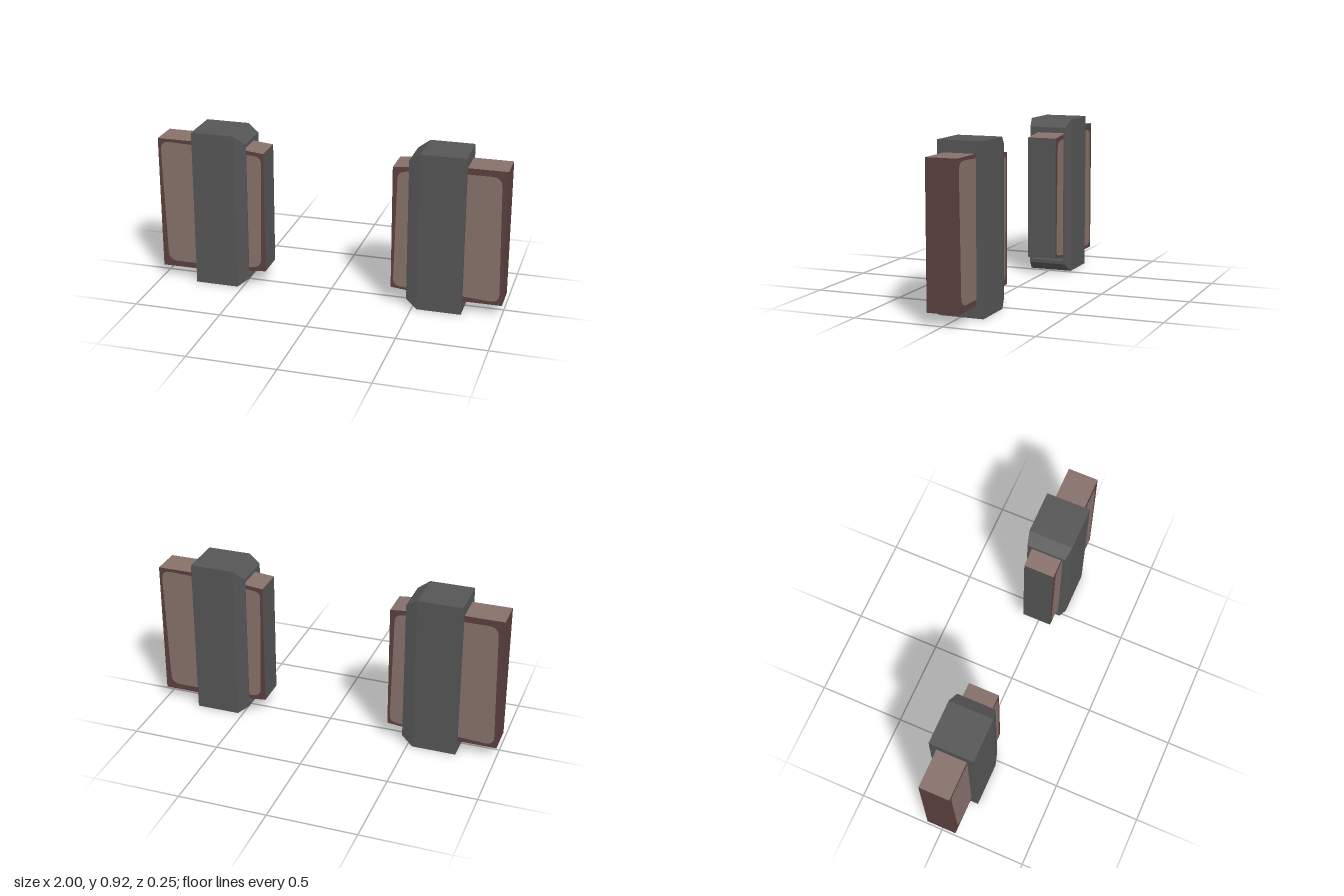
import * as THREE from 'three';

const grey = new THREE.MeshStandardMaterial({ color: 0x555555, name: 'charcoal' });
const brown = new THREE.MeshStandardMaterial({ color: 0x86706a, name: 'dusty brown' });
const maroon = new THREE.MeshStandardMaterial({ color: 0x5a403e, name: 'dark maroon' });

function named(name, geometry, material) {
  const mesh = new THREE.Mesh(geometry, material);
  mesh.name = name;
  return mesh;
}

// Skin rectangular sections [x, bottom, top, halfDepth] in order and cap both ends
function loft(sections) {
  const rings = sections.map(([x, y0, y1, z]) => [[x, y0, z], [x, y1, z], [x, y1, -z], [x, y0, -z]]);
  const pos = [];
  const quad = (a, b, c, d) => [a, b, c, a, c, d].forEach((p) => pos.push(...p));
  const first = rings[0];
  quad(first[0], first[3], first[2], first[1]);
  for (let i = 0; i < rings.length - 1; i++) {
    for (let k = 0; k < 4; k++) {
      const n = (k + 1) % 4;
      quad(rings[i][k], rings[i][n], rings[i + 1][n], rings[i + 1][k]);
    }
  }
  quad(...rings[rings.length - 1]);
  const geometry = new THREE.BufferGeometry();
  geometry.setAttribute('position', new THREE.Float32BufferAttribute(pos, 3));
  geometry.computeVertexNormals();
  return geometry;
}

// Box between x0 and x1 whose heights may differ at its two ends
function block(x0, x1, [b0, t0], [b1, t1], halfDepth) {
  const geometry = new THREE.BoxGeometry(x1 - x0, 1, halfDepth * 2);
  const p = geometry.attributes.position;
  for (let i = 0; i < p.count; i++) {
    const inner = p.getX(i) < 0;
    const top = p.getY(i) > 0;
    p.setXYZ(i, inner ? x0 : x1, inner ? (top ? t0 : b0) : (top ? t1 : b1), p.getZ(i));
  }
  geometry.computeVertexNormals();
  return geometry;
}

// Thin panel with rounded corners on the front (side 1) or back (side -1)
function panel(corners, radius, z, side) {
  const pts = corners.map(([x, y]) => new THREE.Vector2(x * side, y));
  const shape = new THREE.Shape();
  pts.forEach((p, i) => {
    const toward = (q) => p.clone().add(q.clone().sub(p).setLength(radius));
    const a = toward(pts[(i + 3) % 4]);
    const b = toward(pts[(i + 1) % 4]);
    if (i === 0) shape.moveTo(a.x, a.y); else shape.lineTo(a.x, a.y);
    shape.quadraticCurveTo(p.x, p.y, b.x, b.y);
  });
  shape.closePath();
  const geometry = new THREE.ShapeGeometry(shape, 5);
  if (side < 0) geometry.rotateY(Math.PI);
  return geometry.translate(0, 0, z * side);
}

function createUnit() {
  const unit = new THREE.Group();
  const halfDepth = 0.087;

  // Bevelled sleeve with a shallow recess at its inner end
  unit.add(named('sleeve', loft([
    [0.78, 0, 0.915, 0.127],
    [0.53, 0, 0.915, 0.127],
    [0.465, 0.05, 0.87, 0.11],
    [0.465, 0.07, 0.85, 0.1],
    [0.53, 0.07, 0.85, 0.1],
  ]), grey));

  // Blocks: end faces, top and bottom, then front and back
  unit.add(named('outerBlock', block(0.6, 1, [0.065, 0.85], [0.065, 0.85], halfDepth),
    [maroon, maroon, brown, brown, maroon, maroon]));
  unit.add(named('innerBlock', block(0.37, 0.6, [0.1, 0.815], [0.077, 0.838], halfDepth),
    [grey, grey, brown, brown, maroon, maroon]));

  // Slightly skewed inset panels
  const z = halfDepth + 0.002;
  const outerFront = [[0.7, 0.1], [0.985, 0.082], [0.968, 0.815], [0.7, 0.815]];
  const outerBack = [[0.7, 0.1], [0.965, 0.1], [0.985, 0.835], [0.7, 0.825]];
  const innerFront = [[0.383, 0.115], [0.56, 0.095], [0.56, 0.81], [0.398, 0.79]];
  const innerBack = [[0.398, 0.125], [0.56, 0.105], [0.56, 0.81], [0.383, 0.795]];
  unit.add(named('outerFrontPanel', panel(outerFront, 0.055, z, 1), brown));
  unit.add(named('outerBackPanel', panel(outerBack, 0.055, z, -1), brown));
  unit.add(named('innerFrontPanel', panel(innerFront, 0.04, z, 1), brown));
  unit.add(named('innerBackPanel', panel(innerBack, 0.04, z, -1), brown));
  return unit;
}

export function createModel() {
  const model = new THREE.Group();
  model.name = 'sleevedBlockPair';
  // Two units, one turned half way round the vertical axis
  ['leftUnit', 'rightUnit'].forEach((name, i) => {
    const unit = createUnit();
    unit.name = name;
    unit.rotation.y = i * Math.PI;
    model.add(unit);
  });
  return model;
}
